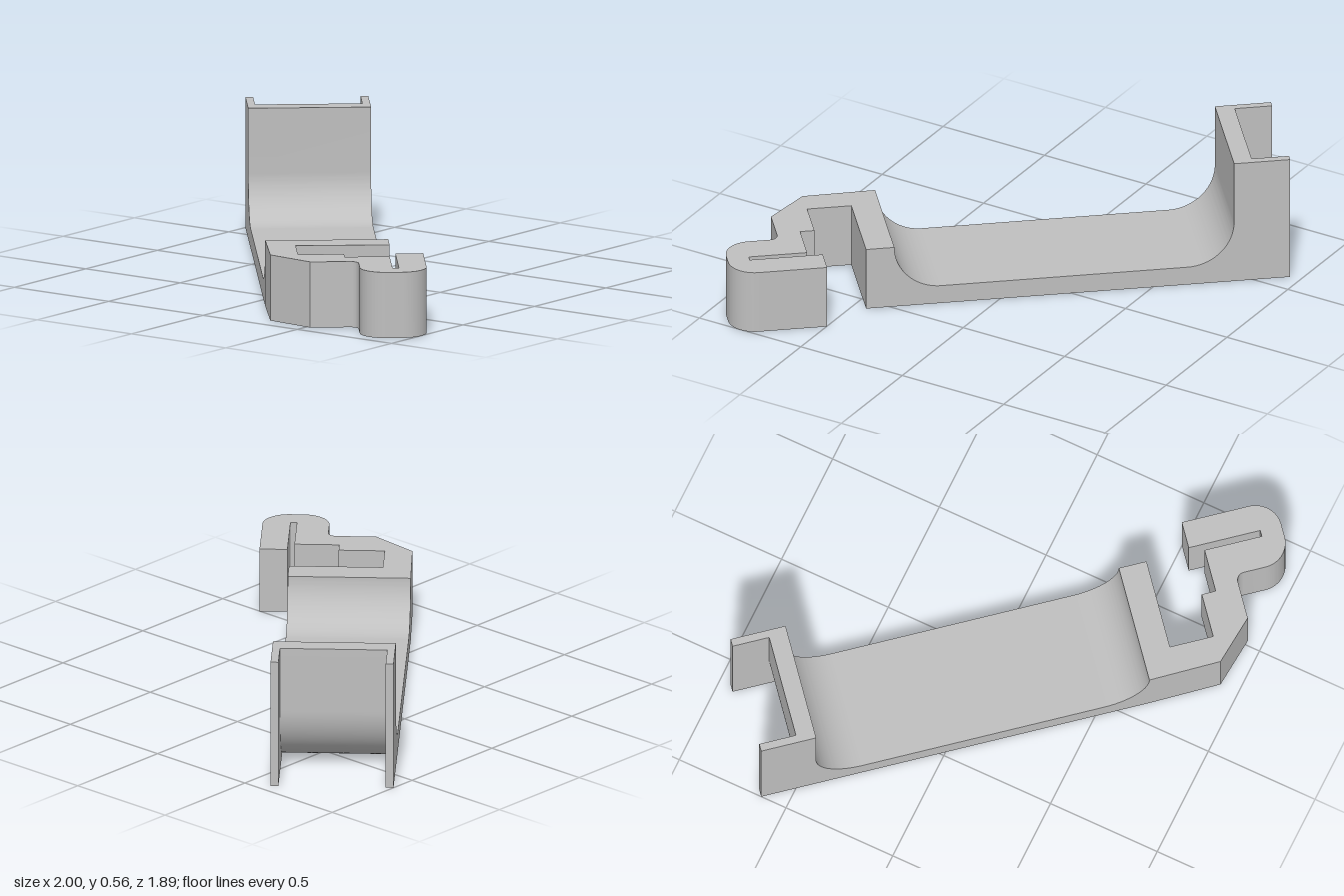
import * as THREE from 'three';
import { toCreasedNormals } from 'three/addons/utils/BufferGeometryUtils.js';

const gray = new THREE.MeshStandardMaterial({ color: 0xbfbfbf });
gray.name = 'plain gray';

// Extrude a shape, keeping curves smooth and edges sharp
function extrude(shape, depth) {
  const geometry = new THREE.ExtrudeGeometry(shape, { depth, bevelEnabled: false, curveSegments: 20 });
  return toCreasedNormals(geometry, 0.5);
}

function addPart(group, name, geometry) {
  const mesh = new THREE.Mesh(geometry, gray);
  mesh.name = name;
  group.add(mesh);
}

export function createModel() {
  const model = new THREE.Group();
  model.name = 'clipBracket';

  // Local frame: x runs along the arm, which lies diagonally on the ground
  const arm = new THREE.Group();
  arm.name = 'bracketArm';
  arm.rotation.y = -THREE.MathUtils.degToRad(50);
  model.add(arm);

  const wallTop = 0.562, headTop = 0.283;
  const wallIn = -0.875, wallOut = -0.955, bend = -0.675, flangeEnd = -1.115;
  const headStart = 0.579, fillet = 0.2;
  const nearZ = -0.15, width = 0.52, flangeThickness = 0.033;

  // Bent strip: upright wall, rounded bend, flat floor and fillet up to the head
  const strip = new THREE.Shape();
  strip.moveTo(bend, 0);
  strip.lineTo(headStart, 0);
  strip.lineTo(headStart, headTop);
  strip.absarc(headStart - fillet, headTop, fillet, 0, -Math.PI / 2, true);
  strip.lineTo(bend, headTop - fillet);
  strip.absarc(bend, headTop, fillet, -Math.PI / 2, -Math.PI, true);
  strip.lineTo(wallIn, wallTop);
  strip.lineTo(wallOut, wallTop);
  strip.lineTo(wallOut, 0.28);
  strip.absarc(bend, 0.28, 0.28, Math.PI, Math.PI * 1.5, false);
  addPart(arm, 'bentStrip', extrude(strip, width).translate(0, 0, nearZ));

  // Two thin flanges behind the wall, filling the outside of the bend
  const flange = new THREE.Shape();
  flange.moveTo(flangeEnd, 0);
  flange.lineTo(bend, 0);
  flange.absarc(bend, 0.28, 0.28, Math.PI * 1.5, Math.PI, true);
  flange.lineTo(wallOut, wallTop);
  flange.lineTo(flangeEnd, wallTop);
  flange.closePath();
  for (const [name, z] of [['leftFlange', nearZ], ['rightFlange', nearZ + width - flangeThickness]]) {
    addPart(arm, name, extrude(flange, flangeThickness).translate(0, 0, z));
  }

  // Head outline: end block, open pocket, and rounded hook with a narrow slot
  const head = new THREE.Shape();
  head.moveTo(headStart, 0.15);
  head.lineTo(headStart, -0.37);
  head.lineTo(0.891, -0.364);
  head.lineTo(1.051, -0.203);
  head.lineTo(1.051, -0.035);
  head.absarc(1.086, -0.035, 0.035, Math.PI, Math.PI / 2, true);
  head.lineTo(1.18, 0);
  head.absarc(1.18, 0.113, 0.113, -Math.PI / 2, 0, false);
  head.absarc(1.18, 0.17, 0.113, 0, Math.PI / 2, false);
  head.lineTo(0.888, 0.283);
  head.lineTo(0.888, 0.165);
  head.lineTo(1.2, 0.165);
  head.lineTo(1.2, 0.138);
  head.lineTo(0.95, 0.138);
  head.lineTo(0.95, -0.052);
  head.lineTo(0.889, -0.052);
  head.lineTo(0.889, -0.247);
  head.lineTo(0.7, -0.247);
  head.lineTo(0.7, 0.15);
  head.closePath();
  addPart(arm, 'hookHead', extrude(head, headTop).rotateX(-Math.PI / 2));

  return model;
}
